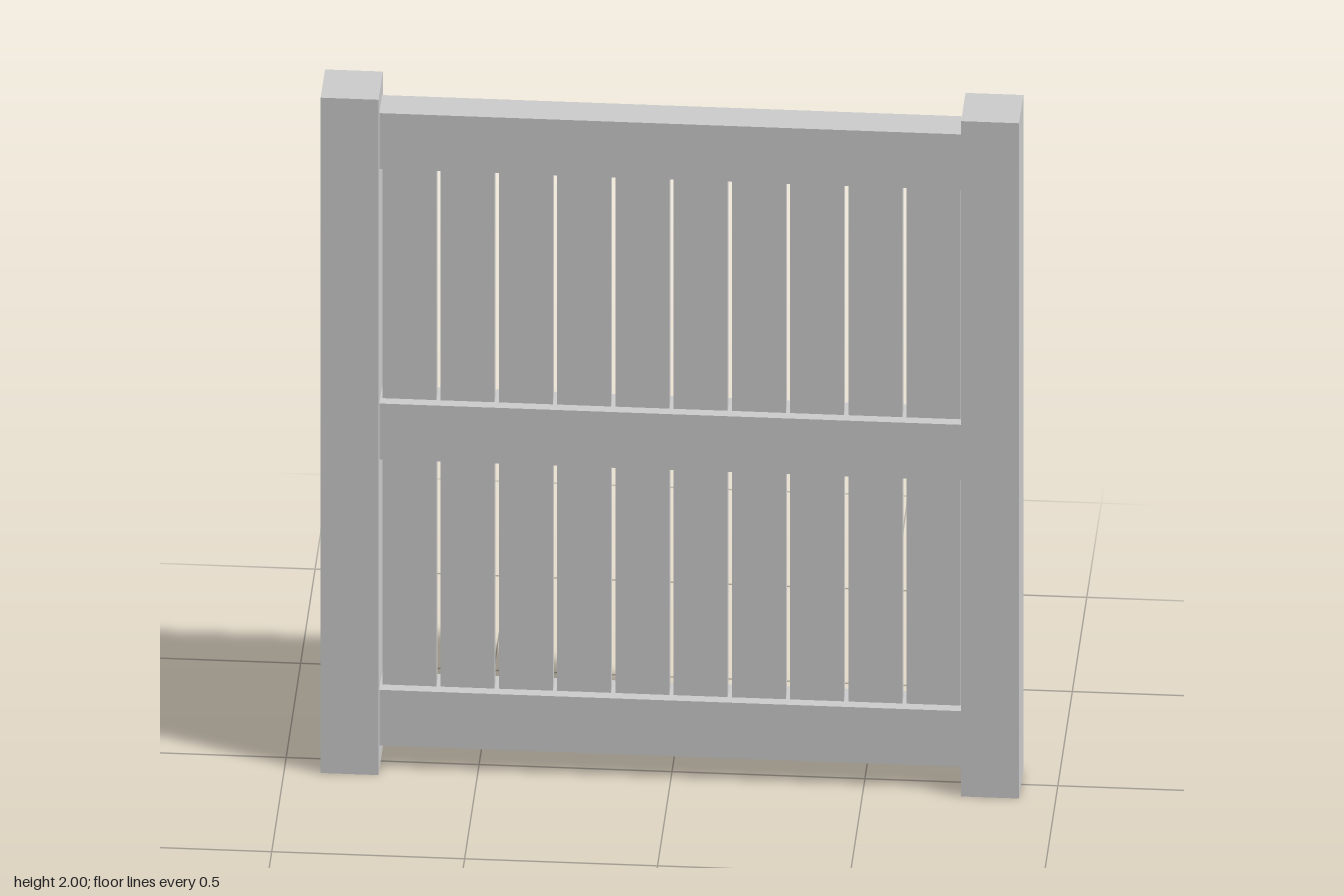
import * as THREE from 'three';

export function createModel() {
  const group = new THREE.Group();
  const material = new THREE.MeshStandardMaterial({ color: 0xcccccc, flatShading: true });

  function box(name, w, h, d, x, y) {
    const mesh = new THREE.Mesh(new THREE.BoxGeometry(w, h, d), material);
    mesh.name = name;
    mesh.position.set(x, y, 0);
    group.add(mesh);
  }

  const postWidth = 0.15, innerWidth = 1.51;

  // Square posts at both sides
  const postX = (innerWidth + postWidth) / 2;
  box('leftPost', postWidth, 2, postWidth, postX, 1);
  box('rightPost', postWidth, 2, postWidth, -postX, 1);

  // Horizontal rails between the posts
  const rails = { bottomRail: 0.155, middleRail: 1.003, topRail: 1.863 };
  for (const [name, y] of Object.entries(rails)) box(name, innerWidth, 0.165, 0.096, 0, y);

  // Thin vertical slats with narrow open gaps, ends seated inside the rails
  const count = 10, gap = 0.011;
  const pitch = innerWidth / count;
  for (let i = 0; i < count; i++) {
    box(`slat${i + 1}`, pitch - gap, 1.70, 0.038, (i - (count - 1) / 2) * pitch, 1.009);
  }
  return group;
}
